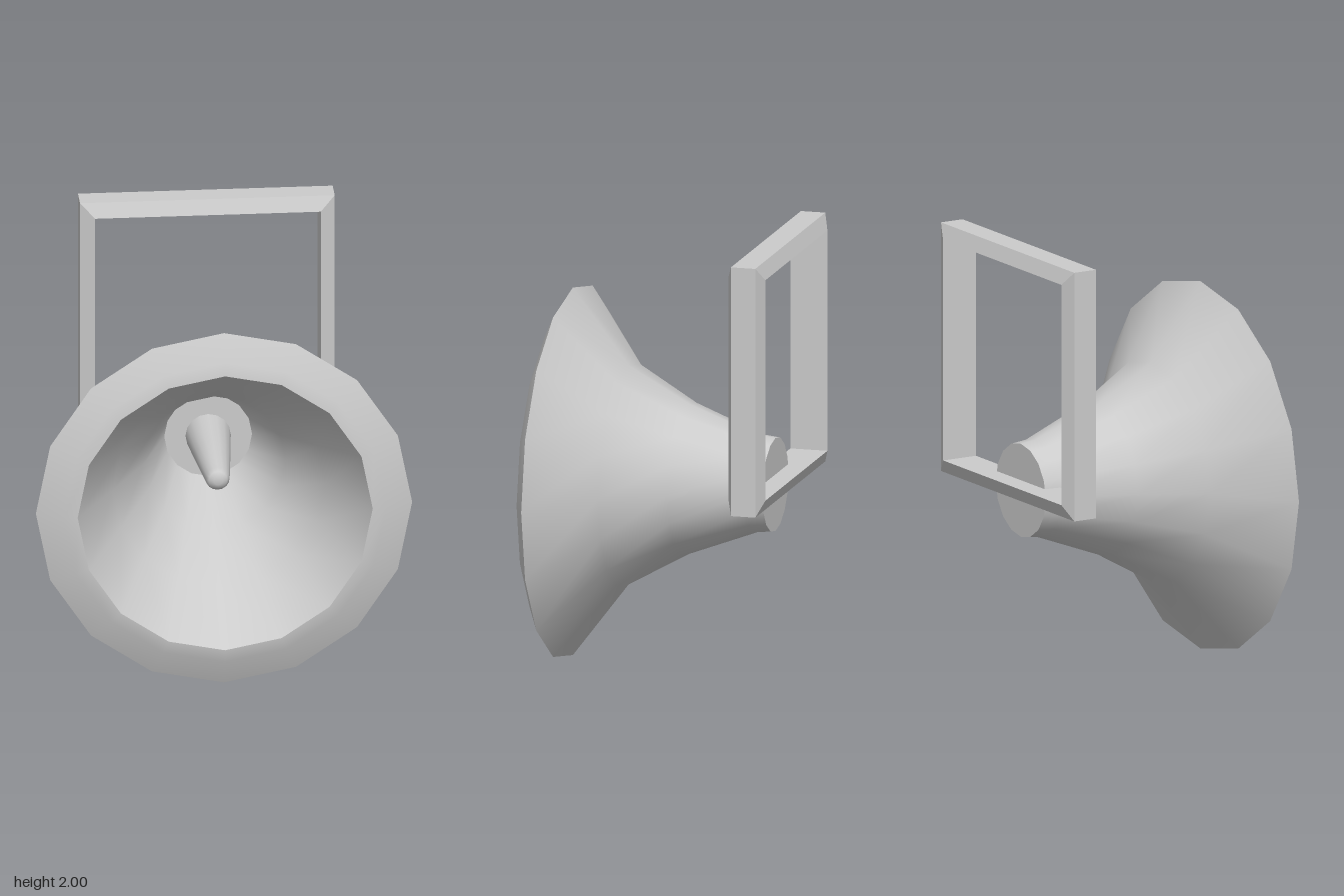
import * as THREE from 'three';

const smooth = new THREE.MeshStandardMaterial({ color: 0xcccccc, side: THREE.DoubleSide });
const flat = new THREE.MeshStandardMaterial({ color: 0xcccccc, flatShading: true });

// Turns a profile of [radius, z] pairs around the z axis
function turned(name, profile, sides, material, phase = 0) {
  const points = profile.map(([r, z]) => new THREE.Vector2(r, z));
  const geometry = new THREE.LatheGeometry(points, sides, phase);
  geometry.rotateX(Math.PI / 2);
  const mesh = new THREE.Mesh(geometry, material);
  mesh.name = name;
  return mesh;
}

export function createModel() {
  const model = new THREE.Group();
  model.name = 'hornLoudspeaker';

  // Horn: separate pieces keep the rim edges sharp
  const horn = new THREE.Group();
  horn.name = 'horn';
  horn.position.y = 0.86;
  horn.add(
    turned('backCap', [[0, -0.585], [0.217, -0.585]], 16, smooth),
    turned('bellOutside', [[0.217, -0.585], [0.226, -0.505], [0.351, -0.175], [0.511, 0.108], [0.857, 0.371]], 16, smooth),
    turned('rim', [[0.857, 0.371], [0.733, 0.428], [0.672, 0.438]], 16, smooth),
    turned('bellInside', [[0.672, 0.438], [0.485, 0.117], [0.325, -0.17], [0.2, -0.5]], 16, smooth),
    turned('throat', [[0.2, -0.5], [0, -0.5]], 16, smooth),
    turned('centreCone', [[0.105, -0.52], [0.08, -0.24], [0.055, 0.02], [0.042, 0.04], [0.02, 0.05], [0, 0.05]], 16, smooth),
  );

  // Square mounting frame with bevelled bars, wider on the inside
  const bar = [[0.58, -0.655], [0.58, -0.54], [0.514, -0.509], [0.514, -0.684], [0.58, -0.655]];
  const frame = turned('mountingFrame', bar.map(([half, z]) => [half * Math.SQRT2, z]), 4, flat, Math.PI / 4);
  frame.position.y = 1.421;

  model.add(horn, frame);
  model.rotation.y = -Math.PI / 4;
  const root = new THREE.Group();
  root.add(model);
  return root;
}
